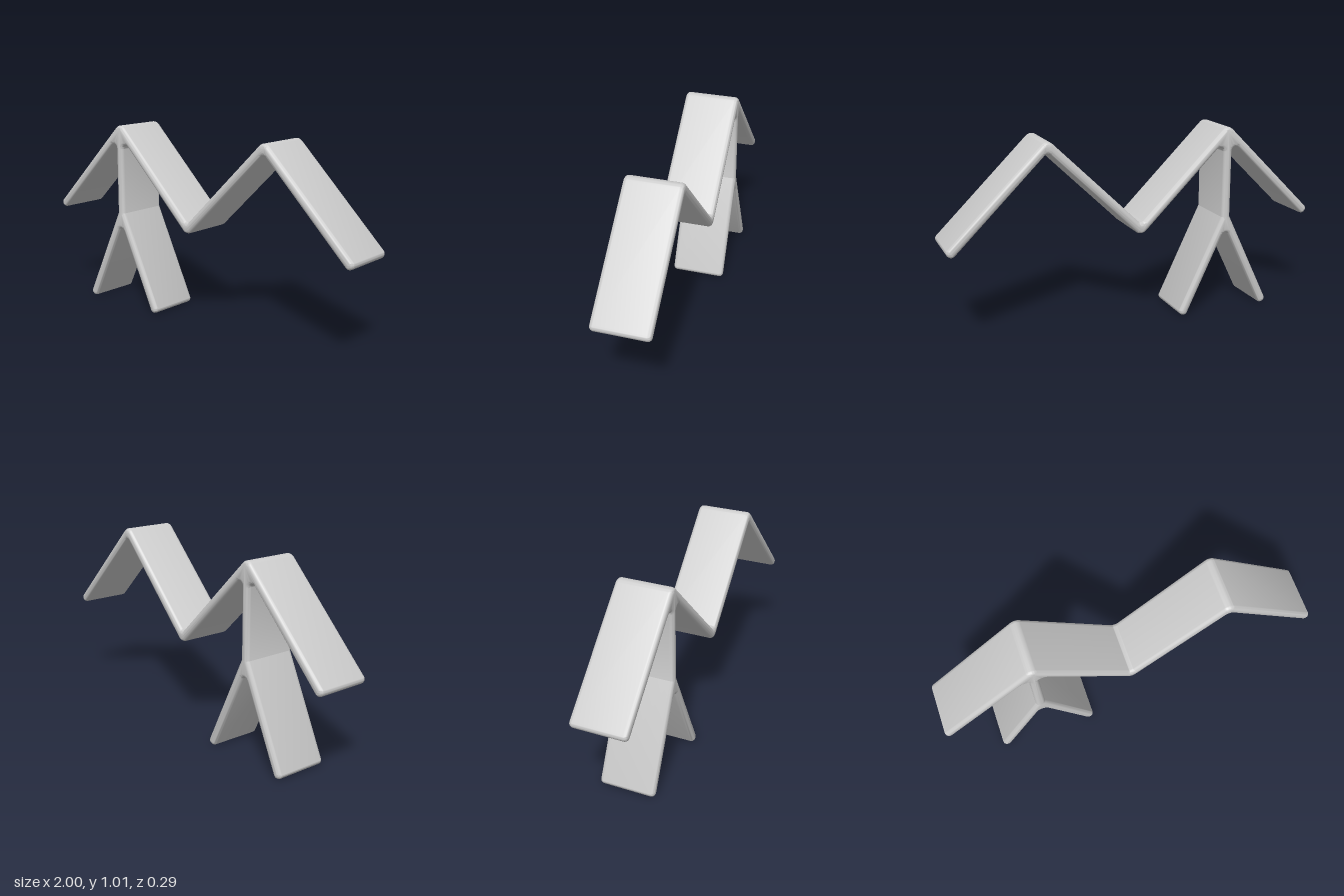
import * as THREE from 'three';
import { toCreasedNormals } from 'three/addons/utils/BufferGeometryUtils.js';

const HALF = 0.024;   // half the slab thickness
const DEPTH = 0.29;   // full width along z
const BEVEL = 0.02;   // rounding of the long edges

// Centre-line joints of the folded slab
const J = {
  rightEnd: [-0.976, 0.521], rightPeak: [-0.493, 0.994], valley: [0, 0.515],
  leftPeak: [0.49, 0.994], leftEnd: [0.976, 0.521],
  fork: [-0.493, 0.525], rightFoot: [-0.734, 0.028], leftFoot: [-0.252, 0.028],
};

// Counter-clockwise walk around the branching centre line
const WALK = ['rightEnd', 'rightPeak', 'fork', 'rightFoot', 'fork', 'leftFoot', 'fork',
  'rightPeak', 'valley', 'leftPeak', 'leftEnd', 'leftPeak', 'valley', 'rightPeak'];

const at = (list, i) => list[(i + list.length) % list.length];
const dir = (a, b) => b.clone().sub(a).normalize();
const rightOf = (d) => new THREE.Vector2(d.y, -d.x);

// Thickens the walk into sharp corners: two at a free end, one mitred at a fold
function thicken(names) {
  const corners = [];
  names.forEach((name, i) => {
    const [a, p, b] = [at(names, i - 1), name, at(names, i + 1)].map((n) => new THREE.Vector2(...J[n]));
    const d1 = dir(a, p);
    const n1 = rightOf(d1);
    if (a.equals(b)) {
      const tip = p.clone().addScaledVector(d1, HALF);
      for (const s of [1, -1]) corners.push({ p: tip.clone().addScaledVector(n1, s * HALF), r: 0.0225 });
    } else {
      const d2 = dir(p, b);
      const n2 = rightOf(d2);
      const miter = n1.clone().add(n2).multiplyScalar(HALF / (1 + n1.dot(n2)));
      corners.push({ p: p.clone().add(miter), r: d1.cross(d2) > 0 ? 0.04 : 0.022 });
    }
  });
  return corners;
}

// Joins the corners with straight sides and round arcs
function roundedShape(corners) {
  const shape = new THREE.Shape();
  corners.forEach(({ p, r }, i) => {
    const d1 = dir(at(corners, i - 1).p, p);
    const d2 = dir(p, at(corners, i + 1).p);
    const side = d1.cross(d2) > 0 ? 1 : -1;
    const n1 = rightOf(d1).multiplyScalar(side);
    const n2 = rightOf(d2).multiplyScalar(side);
    const tangent = r * Math.tan(Math.acos(THREE.MathUtils.clamp(d1.dot(d2), -1, 1)) / 2);
    const c = p.clone().addScaledVector(d1, -tangent).addScaledVector(n1, -r);
    shape.absarc(c.x, c.y, r, Math.atan2(n1.y, n1.x), Math.atan2(n2.y, n2.x), side < 0);
  });
  return shape;
}

export function createModel() {
  const group = new THREE.Group();
  group.name = 'foldedSlab';
  const grey = new THREE.MeshStandardMaterial({ color: 0xcccccc });
  grey.name = 'lightGrey';

  // Zigzag roof, stem and forked legs in one continuous piece
  const geometry = new THREE.ExtrudeGeometry(roundedShape(thicken(WALK)), {
    depth: DEPTH - 2 * BEVEL,
    curveSegments: 5,
    bevelEnabled: true,
    bevelSize: BEVEL,
    bevelThickness: BEVEL,
    bevelOffset: -BEVEL,
    bevelSegments: 5,
  });
  geometry.translate(0, 0, -(DEPTH - 2 * BEVEL) / 2);

  const slab = new THREE.Mesh(toCreasedNormals(geometry, 0.7), grey);
  slab.name = 'zigzagRoofWithForkedStand';
  group.add(slab);
  return group;
}
